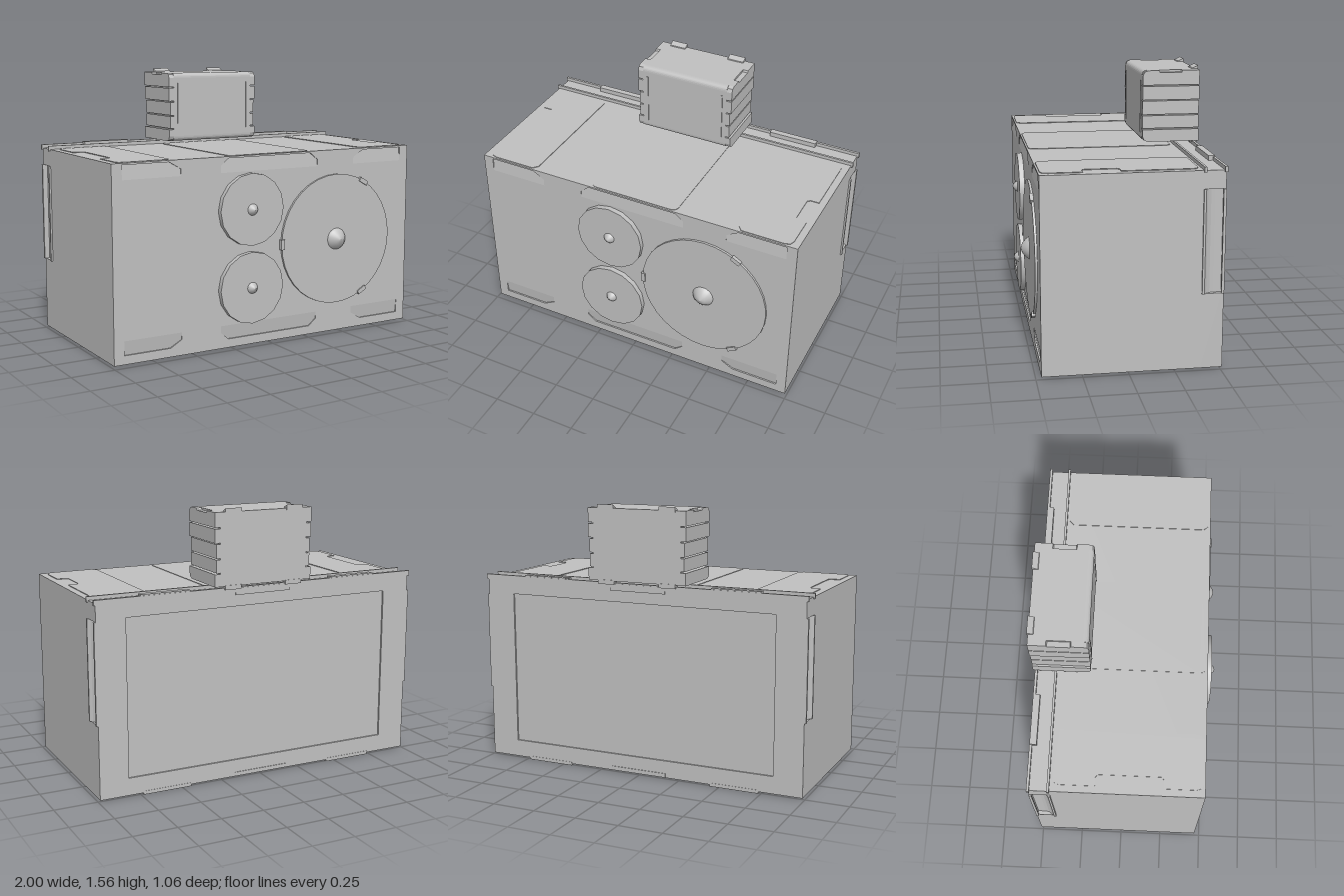
import * as THREE from 'three';

export function createModel() {
  const model = new THREE.Group();
  const grey = new THREE.MeshStandardMaterial({ color: 0xc0c0c0 });
  grey.name = 'plain grey';

  const add = (name, geo, x = 0, y = 0, z = 0) => {
    const m = new THREE.Mesh(geo, grey);
    m.name = name;
    m.position.set(x, y, z);
    model.add(m);
    return m;
  };
  // box given by its limits
  const box = (name, x0, x1, y0, y1, z0, z1) =>
    add(name, new THREE.BoxGeometry(x1 - x0, y1 - y0, z1 - z0), (x0 + x1) / 2, (y0 + y1) / 2, (z0 + z1) / 2);
  const poly = pts => new THREE.Shape(pts.map(p => new THREE.Vector2(...p)));
  const extrude = (shape, depth) =>
    new THREE.ExtrudeGeometry(shape, { depth, bevelEnabled: false, curveSegments: 6 });
  // (z, y) outline extruded from x0 to x1
  const alongX = (name, shape, x0, x1) =>
    add(name, extrude(shape, x1 - x0).rotateY(-Math.PI / 2), x1);
  // (x, -z) outline extruded from y0 to y1
  const alongY = (name, shape, y0, y1) =>
    add(name, extrude(shape, y1 - y0).rotateX(-Math.PI / 2), 0, y0);
  const roundRect = (x0, x1, y0, y1, r) => {
    const s = new THREE.Shape();
    s.moveTo(x0 + r, y0).lineTo(x1 - r, y0).quadraticCurveTo(x1, y0, x1, y0 + r);
    s.lineTo(x1, y1 - r).quadraticCurveTo(x1, y1, x1 - r, y1);
    s.lineTo(x0 + r, y1).quadraticCurveTo(x0, y1, x0, y1 - r);
    s.lineTo(x0, y0 + r).quadraticCurveTo(x0, y0, x0 + r, y0);
    return s;
  };

  // Body
  box('body', -0.99, 0.99, 0.01, 1.1, -0.39, 0.46);
  box('lowerBackSlab', -0.99, 0.99, 0.01, 0.43, -0.5, -0.39);
  box('upperBackSlab', -0.99, 0.99, 1.0, 1.1, -0.5, -0.39);
  // side grips: lipped channel in the rear corners
  const half = [[1.0, 0.39], [1.0, 0.402], [0.985, 0.415], [0.972, 0.435], [0.968, 0.455], [0.968, 0.5]];
  const mirrored = half.map(([x, z]) => [-x, z]).reverse();
  alongY('sideGripSlab', poly([...half, ...mirrored]), 0.43, 1.0);
  for (const s of [-1, 1]) {
    box('sideGripLip', s * 0.995 - 0.005, s * 0.995 + 0.005, 0.43, 1.0, -0.51, -0.495);
  }

  // Front panel with sloping recesses
  const front = poly([[-0.99, 0.01], [0.99, 0.01], [0.99, 1.1], [-0.99, 1.1]]);
  const middle = [[-0.33, 0.14], [-0.33, 0.1], [-0.28, 0.06], [0.27, 0.06], [0.32, 0.1], [0.32, 0.14]];
  const corner = [[0.58, 0.14], [0.58, 0.1], [0.65, 0.06], [0.93, 0.06], [0.93, 0.14]];
  const bottoms = [middle, corner, corner.map(([x, y]) => [-x, y]).reverse()];
  const recesses = [...bottoms, ...bottoms.map(p => p.map(([x, y]) => [x, 1.15 - y]).reverse())];
  for (const pts of recesses) {
    front.holes.push(new THREE.Path(pts.map(p => new THREE.Vector2(...p))));
    const ramp = new THREE.ShapeGeometry(poly(pts));
    const pos = ramp.attributes.position;
    for (let i = 0; i < pos.count; i++) {
      const edge = Math.min(pos.getY(i), 1.15 - pos.getY(i));
      pos.setZ(i, -0.009 * (0.14 - edge) / 0.08);
    }
    ramp.computeVertexNormals();
    add('frontRecessRamp', ramp, 0, 0, 0.47);
  }
  add('frontPanel', extrude(front, 0.01), 0, 0, 0.46);

  // Back panel with a wide shallow recess
  const back = poly([[-0.99, 0.01], [0.99, 0.01], [0.99, 1.1], [-0.99, 1.1]]);
  back.holes.push(poly([[-0.82, 0.11], [0.82, 0.11], [0.82, 1.01], [-0.82, 1.01]]));
  add('backPanel', extrude(back, 0.01), 0, 0, -0.51);

  // Rail and clips along the rear edges
  box('railFrontLip', -1, 1, 1.09, 1.12, -0.403, -0.39);
  box('railBackLip', -1, 1, 1.09, 1.12, -0.515, -0.5);
  for (const s of [-1, 1]) {
    const x = s * 0.59;
    box('topClip', x - 0.145, x + 0.145, 1.09, 1.127, -0.512, -0.475);
    box('bottomClip', x - 0.145, x + 0.145, 0, 0.02, -0.512, -0.465);
  }
  box('topCentreTab', -0.17, 0.17, 1.075, 1.115, -0.518, -0.51);
  box('bottomCentreTab', -0.17, 0.17, 0.012, 0.035, -0.514, -0.51);

  // Raised pads on the lid
  alongY('lidCentrePad', roundRect(-0.27, 0.27, -0.46, 0.37, 0.04), 1.098, 1.103);
  const notchedPad = (s, nearZ, farZ) => {
    const pts = [[0.635, -0.43], [0.66, -0.46], [0.91, -0.46], [0.94, -0.45], [0.95, -0.42],
      [0.95, -farZ], [0.9, -farZ], [0.885, -farZ + 0.015], [0.885, -nearZ - 0.015], [0.9, -nearZ],
      [0.95, -nearZ], [0.95, 0.34], [0.94, 0.365], [0.91, 0.375], [0.66, 0.375], [0.635, 0.35]];
    alongY('lidSidePad', poly(pts.map(([x, y]) => [s * x, y])), 1.098, 1.104);
  };
  notchedPad(1, 0.04, 0.24);
  notchedPad(-1, -0.14, 0.24);

  // Front discs with pointed studs
  const disc = (name, x, y, r, sides, zTop, studR, studH) => {
    const h = zTop - 0.465;
    add(name, new THREE.CylinderGeometry(r, r, h, sides).rotateX(Math.PI / 2), x, y, 0.465 + h / 2);
    const profile = [[studR, 0], [studR * 0.85, studH * 0.3], [studR * 0.45, studH * 0.8], [0, studH]];
    const stud = new THREE.LatheGeometry(profile.map(p => new THREE.Vector2(...p)), 20);
    add(name + 'Stud', stud.rotateX(Math.PI / 2), x, y, zTop);
  };
  disc('upperDisc', -0.14, 0.795, 0.207, 16, 0.5, 0.033, 0.028);
  disc('lowerDisc', -0.14, 0.345, 0.207, 16, 0.5, 0.033, 0.028);
  disc('largeDisc', 0.455, 0.57, 0.387, 36, 0.483, 0.064, 0.046);
  for (const a of [60, 180, 300]) {
    const t = a * Math.PI / 180;
    const tab = add('largeDiscTab', new THREE.BoxGeometry(0.025, 0.06, 0.025),
      0.455 + 0.383 * Math.cos(t), 0.57 + 0.383 * Math.sin(t), 0.478);
    tab.rotation.z = t;
  }

  // Upper box: rounded core with slatted ends
  const core = new THREE.Shape();
  core.moveTo(-0.525, 1.13).lineTo(-0.225, 1.13).quadraticCurveTo(-0.195, 1.13, -0.195, 1.16);
  core.lineTo(-0.195, 1.51).quadraticCurveTo(-0.195, 1.54, -0.225, 1.54).lineTo(-0.525, 1.54);
  alongX('upperBox', core, -0.27, 0.27);
  const b = -0.525, f = -0.195;
  const slats = [
    [0.302, [[b, 1.13], [-0.225, 1.13], [-0.204, 1.139], [f, 1.16], [f, 1.2], [b, 1.2]]],
    [0.293, [[b, 1.207], [f, 1.207], [f, 1.28], [b, 1.28]]],
    [0.293, [[b, 1.287], [f, 1.287], [f, 1.365], [b, 1.365]]],
    [0.302, [[b, 1.372], [f, 1.372], [f, 1.45], [b, 1.45]]],
    [0.302, [[b, 1.457], [f, 1.457], [f, 1.51], [-0.204, 1.531], [-0.225, 1.54],
      [-0.29, 1.54], [-0.295, 1.528], [-0.42, 1.528], [-0.425, 1.54], [b, 1.54]]],
  ];
  for (const [w, pts] of slats) {
    alongX('leftEndSlat', poly(pts), 0.27, w);
    alongX('rightEndSlat', poly(pts), -w, -0.27);
  }
  // front ribs and the hinge wedges above and below
  const wedge = poly([[-0.53, 1.53], [-0.49, 1.53], [-0.497, 1.545], [-0.53, 1.56]]);
  for (const s of [-1, 1]) {
    box('upperBoxRib', s * 0.24 - 0.005, s * 0.24 + 0.005, 1.18, 1.48, -0.2, -0.19);
    alongX('upperHinge', wedge, s * 0.19 - 0.05, s * 0.19 + 0.05);
    box('lowerHinge', s * 0.19 - 0.05, s * 0.19 + 0.05, 1.11, 1.135, -0.528, -0.49);
  }
  return model;
}
